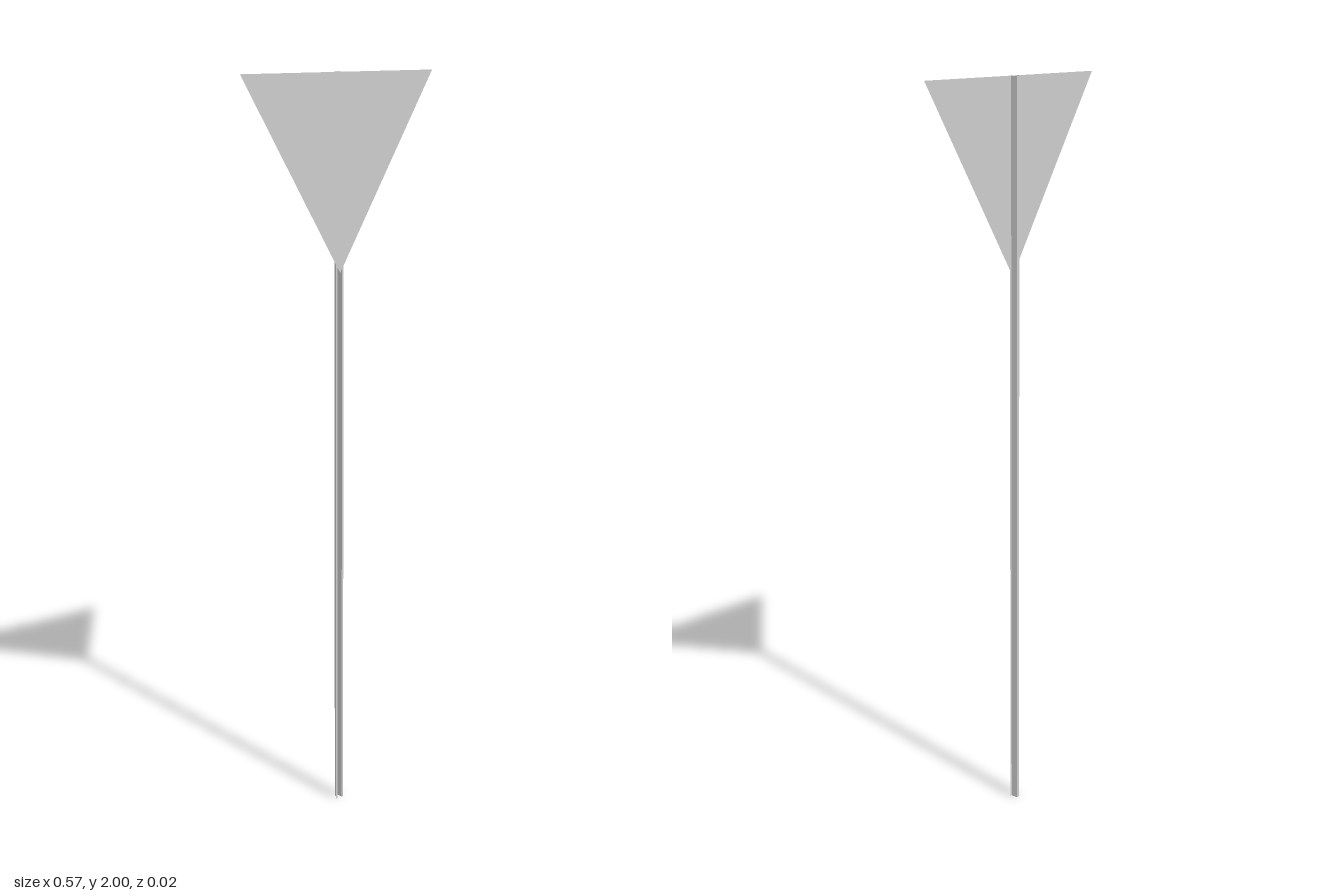
import * as THREE from 'three';

const HEIGHT = 2;
const material = new THREE.MeshStandardMaterial({ color: 0xcccccc, flatShading: true, side: THREE.DoubleSide });

// Sweeps an open [x, z] profile straight up into an uncapped sheet
function sweepUp(profile, height) {
  const positions = [];
  const index = [];
  profile.forEach(([x, z], i) => {
    positions.push(x, 0, z, x, height, z);
    if (i > 0) {
      const a = 2 * (i - 1);
      index.push(a, a + 2, a + 3, a, a + 3, a + 1);
    }
  });
  const geometry = new THREE.BufferGeometry();
  geometry.setAttribute('position', new THREE.Float32BufferAttribute(positions, 3));
  geometry.setIndex(index);
  geometry.computeVertexNormals();
  return geometry;
}

export function createModel() {
  const group = new THREE.Group();

  // Post: folded channel, flanges to the front and web to the back
  const half = [[0.012, 0.008], [0.007, 0.008], [0.004, -0.01]];
  const profile = [...half.map(([x, z]) => [-x, z]), ...half.reverse()];
  const post = new THREE.Mesh(sweepUp(profile, HEIGHT), material);
  post.name = 'post';
  group.add(post);

  // Sign: thin triangular plate pointing down, fixed to the flanges
  const width = 0.57;
  const triangle = new THREE.Shape([
    new THREE.Vector2(-width / 2, HEIGHT),
    new THREE.Vector2(0, HEIGHT - width * Math.sqrt(3) / 2),
    new THREE.Vector2(width / 2, HEIGHT),
  ]);
  const sign = new THREE.Mesh(new THREE.ShapeGeometry(triangle), material);
  sign.name = 'signPlate';
  sign.position.z = 0.01;
  group.add(sign);

  return group;
}
